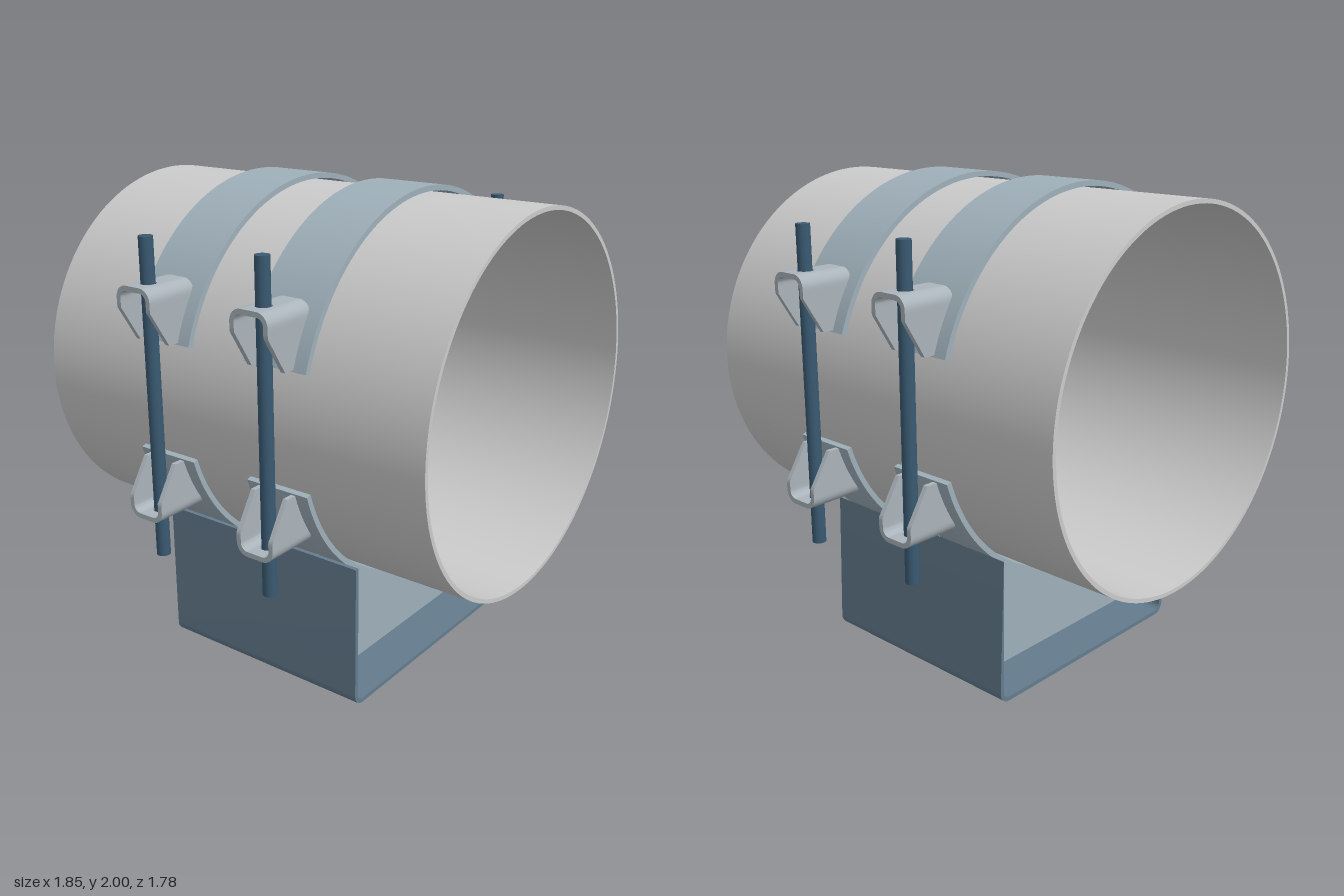
import * as THREE from 'three';
import { toCreasedNormals } from 'three/addons/utils/BufferGeometryUtils.js';

const AXIS = 1.208;        // height of the pipe axis
const BAND_OUT = 0.792, BAND_IN = 0.77;
const STATION = 0.28;      // x of each clamp
const ROD_Z = 0.807;
const PI = Math.PI;

const material = (color) => new THREE.MeshStandardMaterial({ color });
const pipeMat = material(0xcccccc);
const bandMat = material(0x9fb0ba);
const lugMat = material(0xaab4bb);
const cradleMat = material(0x647c8e);
const rodMat = material(0x3a5a72);

function part(name, geometry, mat) {
  const mesh = new THREE.Mesh(geometry, mat);
  mesh.name = name;
  return mesh;
}

// Extrude a (z, y) outline along x, centred on x = 0
function extrudeX(shape, width, curveSegments = 24) {
  const g = new THREE.ExtrudeGeometry(shape, { depth: width, bevelEnabled: false, curveSegments });
  g.translate(0, 0, -width / 2).rotateY(-PI / 2);
  return toCreasedNormals(g, 0.5);
}

function pipeShape() {
  const s = new THREE.Shape().absarc(0, 0, 0.762, 0, 2 * PI, false);
  s.holes.push(new THREE.Path().absarc(0, 0, 0.745, 0, 2 * PI, true));
  return s;
}

// Half band between two angles
function bandShape(a0, a1) {
  const s = new THREE.Shape();
  s.absarc(0, 0, BAND_OUT, a0, a1, false);
  s.absarc(0, 0, BAND_IN, a1, a0, true);
  s.closePath();
  return s;
}

// U channel with rounded lower bends
function cradleShape() {
  const w = 0.545, h = 0.615, t = 0.018, r = 0.05, c = w - r;
  const s = new THREE.Shape();
  s.moveTo(-w, h);
  s.absarc(-c, r, r, PI, 1.5 * PI, false);
  s.absarc(c, r, r, 1.5 * PI, 2 * PI, false);
  s.lineTo(w, h);
  s.lineTo(w - t, h);
  s.absarc(c, r, r - t, 0, -PI / 2, true);
  s.absarc(-c, r, r - t, -PI / 2, -PI, true);
  s.lineTo(t - w, h);
  s.closePath();
  return s;
}

// Upright plate with a curved seat and clipped lower corners
function saddleShape() {
  const w = 0.527, a = Math.acos(w / BAND_OUT);
  const s = new THREE.Shape();
  s.moveTo(-0.48, 0.018);
  s.lineTo(0.48, 0.018);
  s.lineTo(w, 0.065);
  s.absarc(0, AXIS, BAND_OUT, -a, -PI + a, true);
  s.lineTo(-w, 0.065);
  s.closePath();
  return s;
}

// Bent lug, measured from the pipe axis
const LUG = { top: 0.469, bottom: 0.24, half: 0.086, bend: 0.05, t: 0.02, zIn: 0.656, zOut: 0.888 };

// One side of the lug: bend and leg, its edges following the band and the sloped cut
function lugSide(side) {
  const { top, bottom, half, bend, t, zIn, zOut } = LUG;
  const path = [];   // x, y and outward normal
  for (let i = 0; i <= 8; i++) {
    const a = PI / 2 * (1 - i / 8), c = Math.cos(a), n = Math.sin(a);
    path.push([half - bend + bend * c, top - bend + bend * n, c, n]);
  }
  for (let i = 1; i <= 14; i++) {
    path.push([half, THREE.MathUtils.lerp(top - bend, bottom, i / 14), 1, 0]);
  }
  if (side < 0) {
    path.reverse();
    path.forEach((p) => { p[0] *= -1; p[2] *= -1; });
  }
  const inner = (y) => Math.max(zIn, Math.sqrt(0.79 * 0.79 - y * y));
  const outer = (y) => Math.min(zOut, 0.8 + (y - bottom) * 0.62);
  const pos = [], index = [];
  for (const [x, y, nx, ny] of path) {
    const xi = x - nx * t, yi = y - ny * t;
    pos.push(x, y, inner(y), x, y, outer(y), xi, yi, outer(yi), xi, yi, inner(yi));
  }
  const last = (path.length - 1) * 4;
  for (let i = 0; i < last; i += 4) {
    for (let j = 0; j < 4; j++) {
      const k = (j + 1) % 4;
      index.push(i + j, i + k, i + 4 + k, i + j, i + 4 + k, i + 4 + j);
    }
  }
  index.push(0, 2, 1, 0, 3, 2, last, last + 1, last + 2, last, last + 2, last + 3);
  const g = new THREE.BufferGeometry();
  g.setAttribute('position', new THREE.Float32BufferAttribute(pos, 3));
  g.setIndex(index);
  return toCreasedNormals(g, 0.5);
}

// Flat web between the bends, drilled for the rod
function lugWeb() {
  const { top, half, bend, t, zIn, zOut } = LUG, w = half - bend;
  const s = new THREE.Shape();
  s.moveTo(-w, zIn);
  s.lineTo(w, zIn);
  s.lineTo(w, zOut);
  s.lineTo(-w, zOut);
  s.closePath();
  s.holes.push(new THREE.Path().absarc(0, ROD_Z, 0.033, 0, 2 * PI, true));
  const g = new THREE.ExtrudeGeometry(s, { depth: t, bevelEnabled: false, curveSegments: 24 });
  g.rotateX(PI / 2).translate(0, top, 0);
  return toCreasedNormals(g, 0.5);
}

export function createModel() {
  const model = new THREE.Group();
  model.name = 'pipeClampSupport';

  const pipe = part('pipe', extrudeX(pipeShape(), 1.845, 64), pipeMat);
  pipe.position.y = AXIS;
  model.add(pipe);
  model.add(part('cradle', extrudeX(cradleShape(), 0.977, 10), cradleMat));

  const gap = 0.298;   // angle of the band ends above and below the axis
  const upperBand = extrudeX(bandShape(gap, PI - gap), 0.285, 64);
  const lowerBand = extrudeX(bandShape(PI + gap, 2 * PI - gap), 0.285, 64);
  const saddle = extrudeX(saddleShape(), 0.02, 48);
  const rod = new THREE.CylinderGeometry(0.028, 0.028, 1.293, 24);
  const web = lugWeb(), sides = [lugSide(-1), lugSide(1)];
  // Upper front, lower front, upper back, lower back
  const turns = [[0, 0, 0], [0, 0, PI], [0, PI, 0], [PI, 0, 0]];

  for (const x of [-STATION, STATION]) {
    const clamp = new THREE.Group();
    clamp.name = 'clamp';
    clamp.position.set(x, AXIS, 0);
    clamp.add(part('upperBand', upperBand, bandMat), part('lowerBand', lowerBand, bandMat));

    for (const turn of turns) {
      const lug = new THREE.Group();
      lug.name = 'lug';
      lug.rotation.set(...turn);
      lug.add(part('lugWeb', web, lugMat));
      sides.forEach((g) => lug.add(part('lugSide', g, lugMat)));
      clamp.add(lug);
    }
    for (const z of [-ROD_Z, ROD_Z]) {
      const r = part('rod', rod, rodMat);
      r.position.set(0, 0, z);
      clamp.add(r);
    }
    const plate = part('saddlePlate', saddle, bandMat);
    plate.position.y = -AXIS;
    clamp.add(plate);
    model.add(clamp);
  }
  return model;
}
